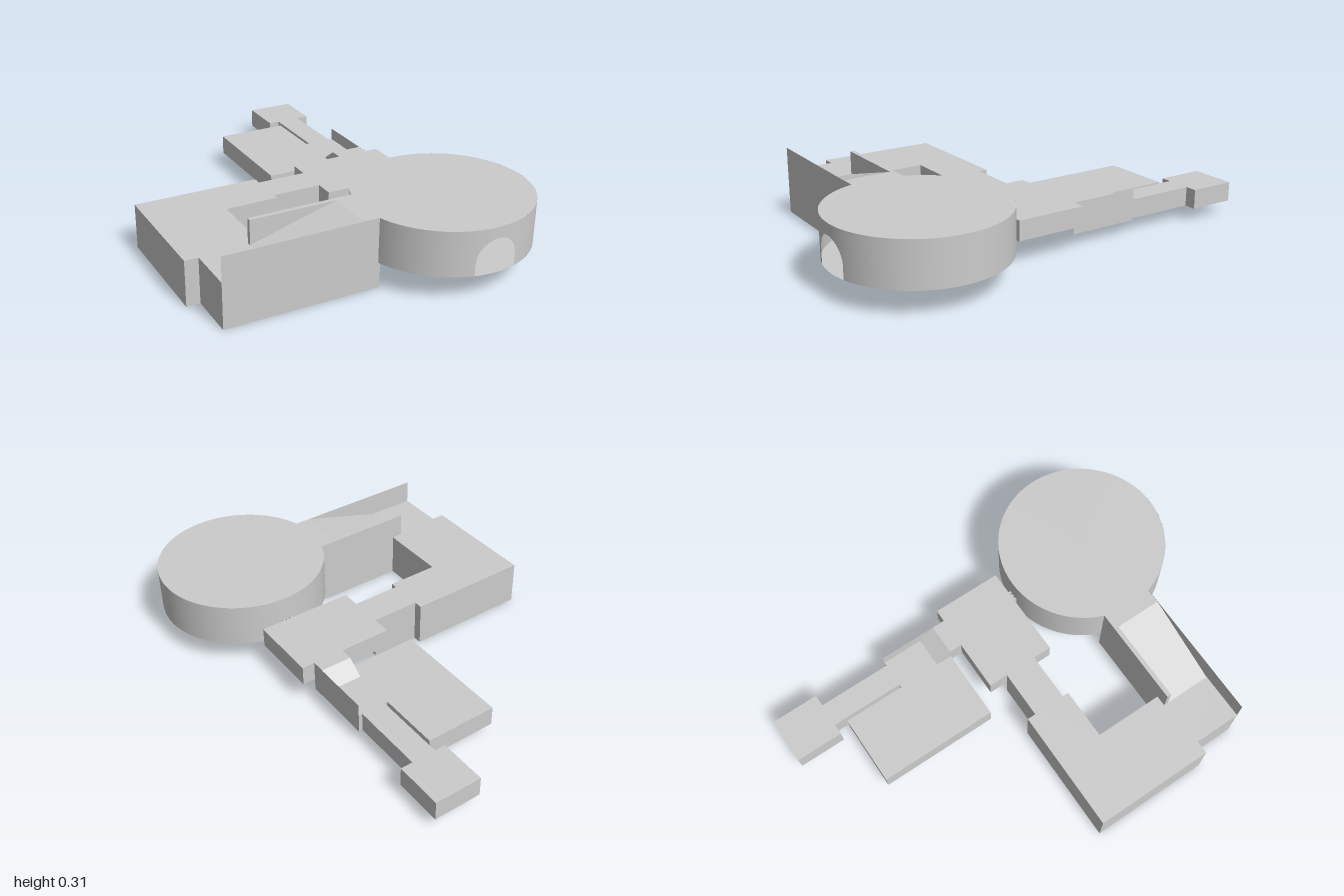
import * as THREE from 'three';
import { ParametricGeometry } from 'three/addons/geometries/ParametricGeometry.js';

const mat = new THREE.MeshStandardMaterial({ color: 0xcccccc, side: THREE.DoubleSide });

export function createModel() {
  const model = new THREE.Group();

  const add = (name, geo, parent = model) => {
    const m = new THREE.Mesh(geo, mat);
    m.name = name;
    parent.add(m);
    return m;
  };
  // box given by its extents
  const box = (name, x0, x1, y0, y1, z0, z1, parent) =>
    add(name, new THREE.BoxGeometry(x1 - x0, y1 - y0, z1 - z0), parent)
      .position.set((x0 + x1) / 2, (y0 + y1) / 2, (z0 + z1) / 2);
  const extrude = (pts, depth) => new THREE.ExtrudeGeometry(
    new THREE.Shape(pts.map(([x, y]) => new THREE.Vector2(x, y))), { depth, bevelEnabled: false });
  // floor plan [x, z] raised from y0 to y1
  const plan = (name, pts, y0, y1) =>
    add(name, extrude(pts.map(([x, z]) => [x, -z]), y1 - y0).rotateX(-Math.PI / 2).translate(0, y0, 0));

  // Round hall: hollow drum with an arched doorway at the front
  const hall = new THREE.Group();
  hall.name = 'roundHall';
  hall.position.set(0.362, 0, 0.614);
  model.add(hall);
  const R = 0.386, base = 0.115, top = 0.315, door = 0.095, spring = 0.17;
  const half = Math.asin(door / R);
  add('hallWall', new ParametricGeometry((u, v, p) => {
    const a = half + u * (2 * Math.PI - 2 * half);
    p.set(R * Math.sin(a), base + v * (top - base), R * Math.cos(a));
  }, 96, 1), hall);
  add('wallAboveDoor', new ParametricGeometry((u, v, p) => {
    const x = -door * Math.cos(Math.PI * u);
    const y = spring + door * Math.sin(Math.PI * u);
    p.set(x, y + v * (top - y), Math.sqrt(R * R - x * x));
  }, 24, 1), hall);
  add('hallRoof', new THREE.CircleGeometry(R, 96).rotateX(-Math.PI / 2), hall).position.y = top;
  add('hallFloor', new THREE.CircleGeometry(R, 96).rotateX(Math.PI / 2), hall).position.y = base;

  // Thin bars where the hall meets the square room
  for (const x of [0.339, 0.358, 0.377])
    box('doorBar', x - 0.005, x + 0.005, 0.095, 0.204, 0.212, 0.237);

  // Lower wing with its narrow passage
  plan('lowerWing', [
    [-0.75, -0.06], [-0.18, -0.06], [-0.18, -0.02], [0.045, -0.02], [0.045, 0.13],
    [-0.18, 0.13], [-0.18, 0.16], [-0.42, 0.16], [-0.42, 0.48], [-0.47, 0.48],
    [-0.47, 0.72], [-0.69, 0.72], [-0.69, 0.5], [-0.75, 0.5],
  ], 0, 0.205);

  // Sloping passage from the lower wing up to the hall, between two upright walls
  add('hallRamp', extrude([
    [-0.47, 0], [-0.08, 0.115], [0, 0.115], [0, 0.315], [-0.08, 0.315], [-0.47, 0.205],
  ], 0.219).translate(0, 0, 0.5));
  box('rampInnerWall', -0.47, 0, 0, 0.315, 0.48, 0.5);
  add('rampFrontWall', new THREE.PlaneGeometry(0.69, 0.315)).position.set(-0.345, 0.1575, 0.72);

  // Square room behind the hall
  box('squareRoom', 0.045, 0.488, 0.115, 0.205, -0.11, 0.217);

  // Sloping passage down to the back rooms, profile in (z, y)
  add('backRamp', extrude([
    [0.11, 0.115], [0.17, 0.115], [0.245, 0.06], [0.44, 0.06],
    [0.44, 0.15], [0.245, 0.15], [0.17, 0.205], [0.11, 0.205],
  ], 0.144).rotateY(Math.PI / 2).translate(0.285, 0, 0));
  add('backRampWall', new THREE.PlaneGeometry(0.33, 0.145).rotateY(Math.PI / 2))
    .position.set(0.43, 0.1325, -0.275);

  // Back rooms
  box('backRoom', -0.045, 0.285, 0.06, 0.15, -0.725, -0.17);
  plan('tailPassage', [
    [0.3, -0.44], [0.3, -0.78], [0.25, -0.78], [0.25, -1], [0.468, -1],
    [0.468, -0.78], [0.412, -0.78], [0.412, -0.44],
  ], 0.06, 0.15);

  return model;
}
